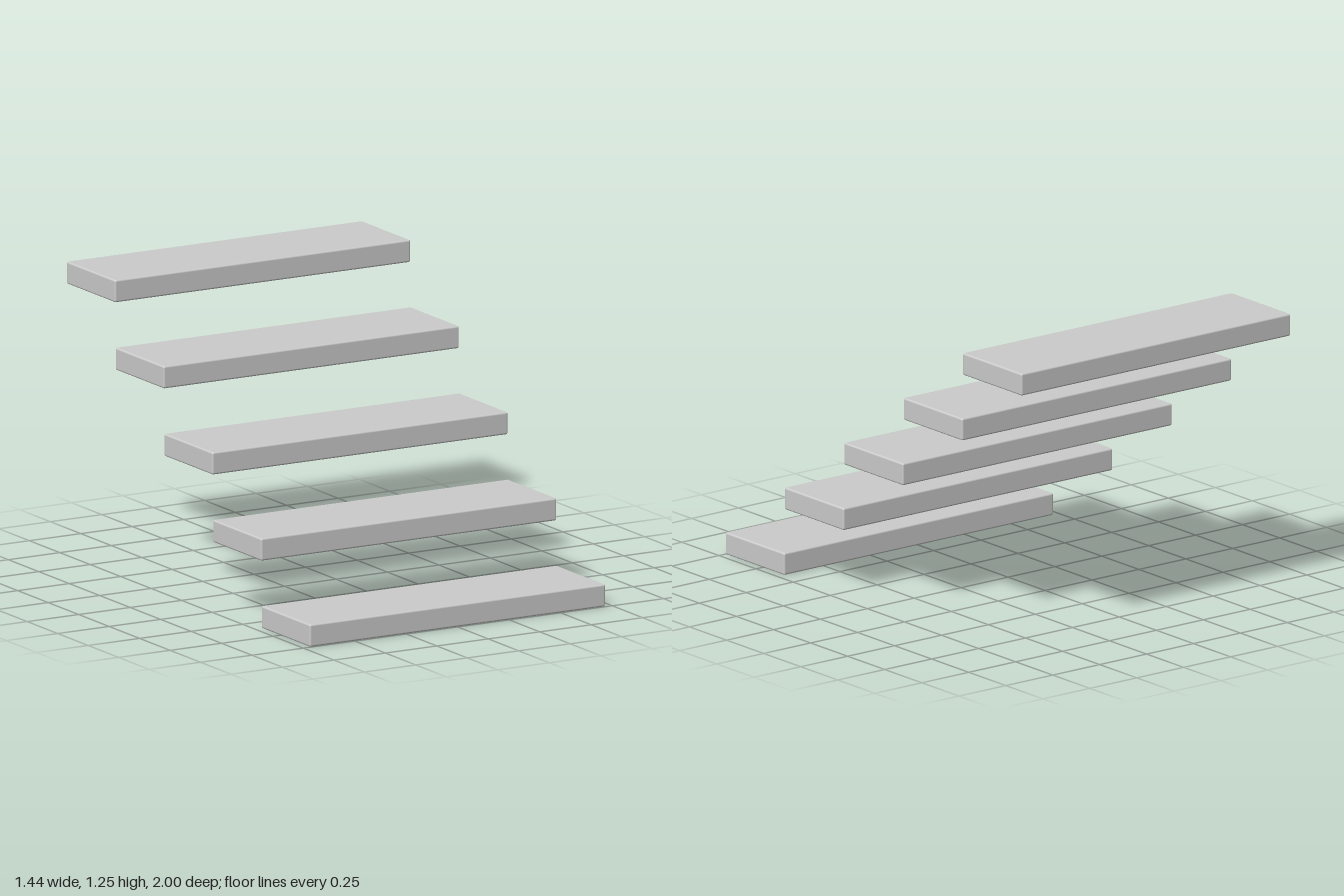
import * as THREE from 'three';
import { RoundedBoxGeometry } from 'three/addons/geometries/RoundedBoxGeometry.js';

export function createModel() {
  const group = new THREE.Group();
  group.name = 'floatingStairs';
  const material = new THREE.MeshStandardMaterial({ color: 0xcccccc });

  const count = 5, width = 1.436, thickness = 0.096, depth = 0.399;
  const rise = 0.288, run = 0.4;

  // One softly eased slab, repeated up and back
  const slab = new RoundedBoxGeometry(width, thickness, depth, 3, 0.008);
  for (let i = 0; i < count; i++) {
    const tread = new THREE.Mesh(slab, material);
    tread.name = `tread${i + 1}`;
    tread.position.set(0, thickness / 2 + i * rise, ((count - 1) / 2 - i) * run);
    group.add(tread);
  }
  return group;
}
